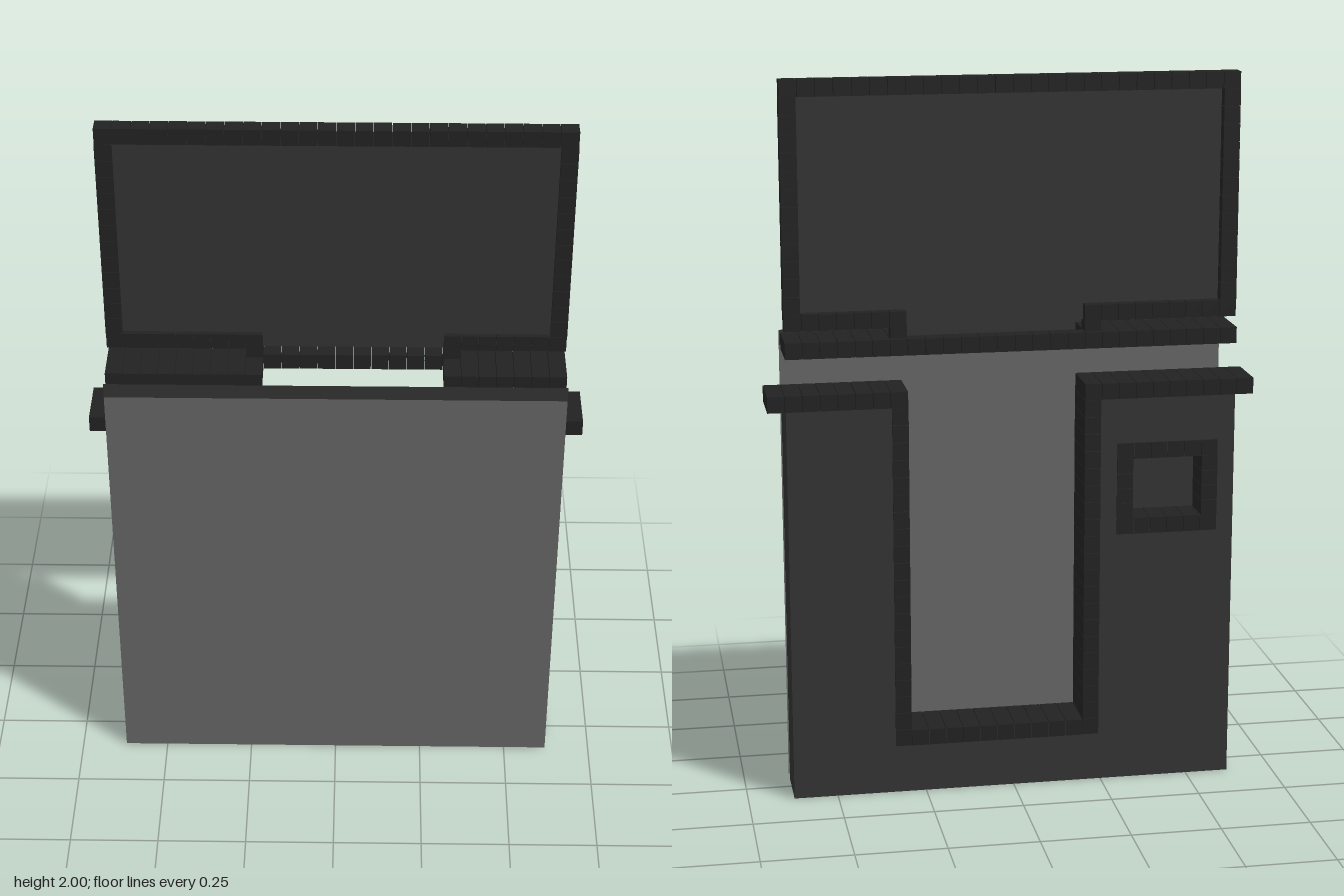
import * as THREE from 'three';

const block = new THREE.MeshStandardMaterial({ color: 0x222222 });
const plate = new THREE.MeshStandardMaterial({ color: 0x333333, side: THREE.DoubleSide });
const sheet = new THREE.MeshStandardMaterial({ color: 0x666666, side: THREE.DoubleSide });

const T = 0.045;                  // block thickness
const ZB = -0.095, ZF = 0.048;    // back and front of the wall
const W = 0.622;                  // half width
const DL = 0.335, DR = -0.243;    // outer edges of the doorway trim

// Row of separate blocks filling a box, split along one axis ('x' or 'y')
function row(parent, name, axis, [x0, x1], [y0, y1], [z0, z1], pitch = 0.048) {
  const g = new THREE.Group();
  g.name = name;
  const len = axis === 'x' ? x1 - x0 : y1 - y0;
  const n = Math.max(1, Math.round(len / pitch));
  const step = len / n, gap = n > 1 ? 0.0015 : 0;
  const geo = axis === 'x'
    ? new THREE.BoxGeometry(step - gap, y1 - y0, z1 - z0)
    : new THREE.BoxGeometry(x1 - x0, step - gap, z1 - z0);
  for (let i = 0; i < n; i++) {
    const m = new THREE.Mesh(geo, block);
    m.name = 'block';
    m.position.set((x0 + x1) / 2, (y0 + y1) / 2, (z0 + z1) / 2);
    m.position[axis] = (axis === 'x' ? x0 : y0) + (i + 0.5) * step;
    g.add(m);
  }
  parent.add(g);
}

// Rectangular frame of blocks
function frame(parent, name, [x0, x1], [y0, y1], z) {
  row(parent, name + 'Bottom', 'x', [x0, x1], [y0, y0 + T], z);
  row(parent, name + 'Top', 'x', [x0, x1], [y1 - T, y1], z);
  row(parent, name + 'Side', 'y', [x0, x0 + T], [y0 + T, y1 - T], z);
  row(parent, name + 'Side', 'y', [x1 - T, x1], [y0 + T, y1 - T], z);
}

// Thin upright sheet facing front
function panel(parent, name, [x0, x1], [y0, y1], z, mat) {
  const m = new THREE.Mesh(new THREE.PlaneGeometry(x1 - x0, y1 - y0), mat);
  m.name = name;
  m.position.set((x0 + x1) / 2, (y0 + y1) / 2, z);
  parent.add(m);
}

function part(parent, name) {
  const g = new THREE.Group();
  g.name = name;
  parent.add(g);
  return g;
}

export function createModel() {
  const model = new THREE.Group();
  model.name = 'wallWithSign';
  const depth = [ZB, ZF];

  // Free-standing front sheet with a dark top band
  panel(model, 'frontSheet', [-W, W], [0, 1.257], 0.095, sheet);
  panel(model, 'frontSheetBand', [-W, W], [1.257, 1.3], 0.095, plate);

  // Back wall with open doorway and window hole
  const wall = part(model, 'wall');
  const s = new THREE.Shape();
  [[-W, 0], [W, 0], [W, 1.112], [DL - T, 1.112], [DL - T, 0.18],
    [DR + T, 0.18], [DR + T, 1.112], [-W, 1.112]]
    .forEach(([x, y], i) => (i ? s.lineTo(x, y) : s.moveTo(x, y)));
  const wx = [-0.575, -0.29], wy = [0.724, 0.985];
  const hole = new THREE.Path();
  hole.moveTo(wx[0] + T, wy[0] + T);
  hole.lineTo(wx[0] + T, wy[1] - T);
  hole.lineTo(wx[1] - T, wy[1] - T);
  hole.lineTo(wx[1] - T, wy[0] + T);
  s.holes.push(hole);
  const back = new THREE.Mesh(new THREE.ShapeGeometry(s), plate);
  back.name = 'backWall';
  back.position.z = -0.091;
  wall.add(back);
  for (const side of [-1, 1]) {
    const m = new THREE.Mesh(new THREE.PlaneGeometry(0.141, 1.112), plate);
    m.name = 'sideWall';
    m.rotation.y = side * Math.PI / 2;
    m.position.set(side * W, 0.556, -0.0205);
    wall.add(m);
  }

  // Doorway trim and wall caps
  row(wall, 'leftDoorPost', 'y', [DL - T, DL], [0.137, 1.112], depth);
  row(wall, 'rightDoorPost', 'y', [DR, DR + T], [0.137, 1.112], depth);
  row(wall, 'doorSill', 'x', [DR + T, DL - T], [0.137, 0.182], depth);
  row(wall, 'leftCap', 'x', [DL - T, 0.673], [1.112, 1.157], depth);
  row(wall, 'rightCap', 'x', [-0.673, DR + T], [1.112, 1.157], depth);

  // Window trim and recessed pane
  frame(wall, 'windowFrame', wx, wy, [ZB, 0.005]);
  panel(wall, 'windowPane', wx, wy, 0.003, plate);

  // Shelves over the wall, joined by a narrow beam at the back
  const shelf = part(model, 'shelf');
  row(shelf, 'leftShelf', 'x', [DL - T, W], [1.257, 1.302], depth);
  row(shelf, 'rightShelf', 'x', [-W, DR + T], [1.257, 1.302], depth);
  row(shelf, 'backBeam', 'x', [DR + T, DL - T], [1.257, 1.302], [ZB, ZB + T]);

  // Sign: recessed board, block frame open at the bottom middle, two feet
  const sign = part(model, 'sign');
  const sz = [-0.08, -0.036], bottom = [1.33, 1.33 + T];
  panel(sign, 'signBoard', [-W + 0.01, W - 0.01], [1.33, 1.99], -0.05, plate);
  row(sign, 'signFrameTop', 'x', [-W, W], [2 - T, 2], sz);
  row(sign, 'signFrameBottom', 'x', [DL - T, W], bottom, sz);
  row(sign, 'signFrameBottom', 'x', [-W, DR + T], bottom, sz);
  for (const x of [-W, W - T])
    row(sign, 'signFrameSide', 'y', [x, x + T], [1.33 + T, 2 - T], sz);
  for (const x of [DL - T, DR])
    row(sign, 'signFoot', 'y', [x, x + T], [1.302, 1.33], sz);

  return model;
}
